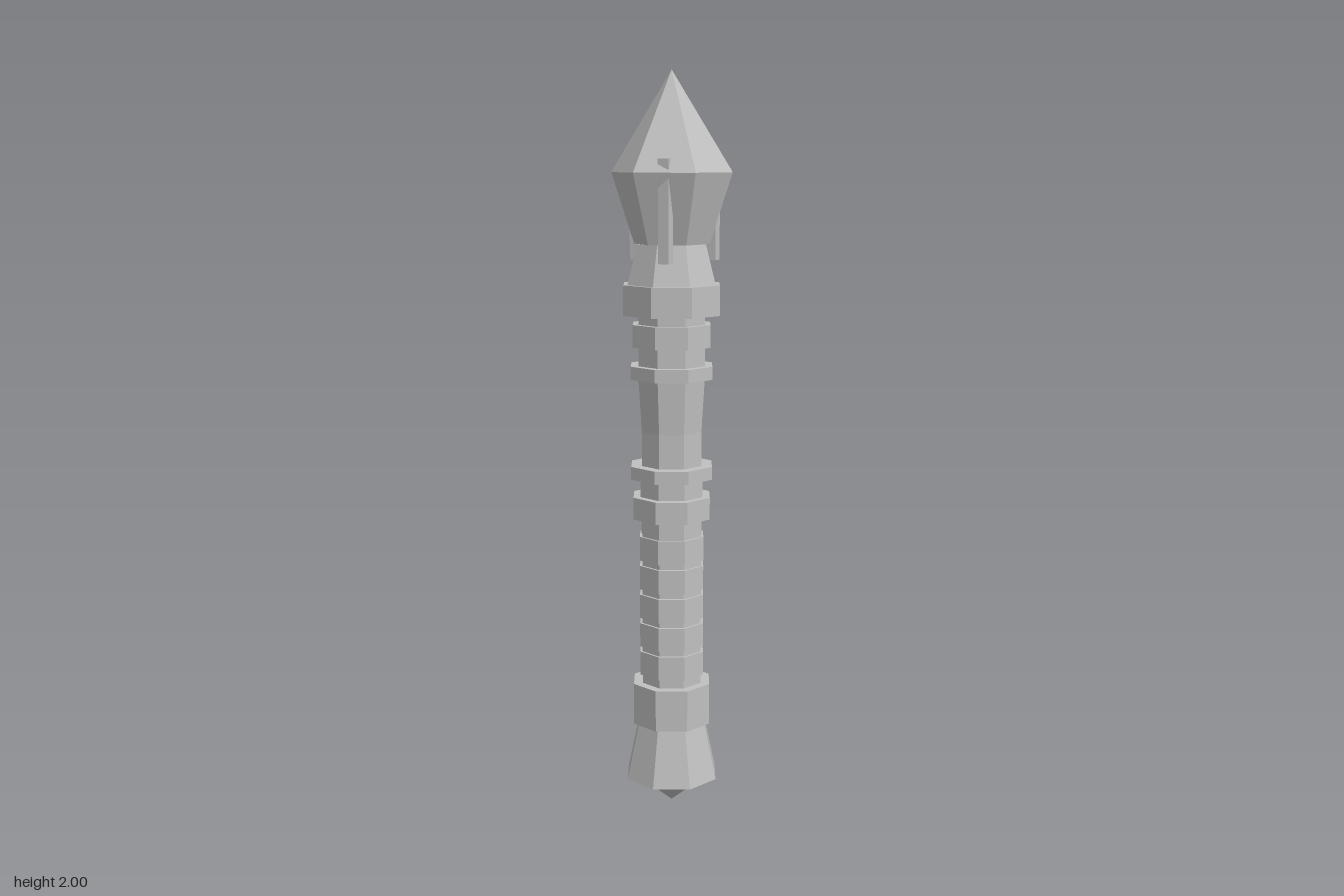
import * as THREE from 'three';

export function createModel() {
  const group = new THREE.Group();
  const stone = new THREE.MeshStandardMaterial({ color: 0xc0c0c0 });
  stone.name = 'plain grey';

  // Faceted frustum between heights y0 and y1
  function section(name, y0, y1, r0, r1 = r0, sides = 8) {
    const geo = new THREE.CylinderGeometry(r1, r0, y1 - y0, sides).toNonIndexed();
    geo.computeVertexNormals();
    const mesh = new THREE.Mesh(geo, stone);
    mesh.name = name;
    mesh.position.y = (y0 + y1) / 2;
    group.add(mesh);
    return mesh;
  }

  // Pommel and its pointed end
  section('pommelPoint', 0, 0.08, 0, 0.097);
  section('pommel', 0.08, 0.24, 0.132, 0.097);
  section('pommelCollar', 0.24, 0.355, 0.112);

  // Core running the length of the handle
  section('shaft', 0.24, 1.45, 0.086);

  // Ribbed lower grip
  for (let i = 0; i < 5; i++) {
    const y = 0.38 + i * 0.081;
    section('gripRib', y, y + 0.066, 0.093);
  }

  // Rings and necks of the middle and upper handle
  section('lowerNeck', 0.78, 0.82, 0.088);
  section('lowerRing', 0.82, 0.88, 0.111);
  section('middleNeck', 0.88, 0.93, 0.09);
  section('middleRing', 0.93, 0.965, 0.117);
  section('upperGrip', 1.01, 1.2, 0.083, 0.095);
  section('upperRing', 1.2, 1.235, 0.117);
  section('upperNeck', 1.235, 1.285, 0.095);
  section('topRing', 1.285, 1.345, 0.111);
  section('topNeck', 1.345, 1.37, 0.095);

  // Head collar and socket
  section('headCollar', 1.37, 1.45, 0.137);
  section('headSocket', 1.45, 1.555, 0.125, 0.097);

  // Six-sided crystal
  section('crystalBase', 1.555, 1.74, 0.1, 0.16, 6);
  section('crystalTip', 1.74, 2, 0.16, 0, 6);

  // Three prongs holding the crystal
  for (let i = 0; i < 3; i++) {
    const a = (i * Math.PI * 2) / 3;
    const prong = section('prong', 1.51, 1.775, 0.021, 0.021, 4);
    prong.position.x = 0.117 * Math.cos(a);
    prong.position.z = 0.117 * Math.sin(a);
  }

  return group;
}
